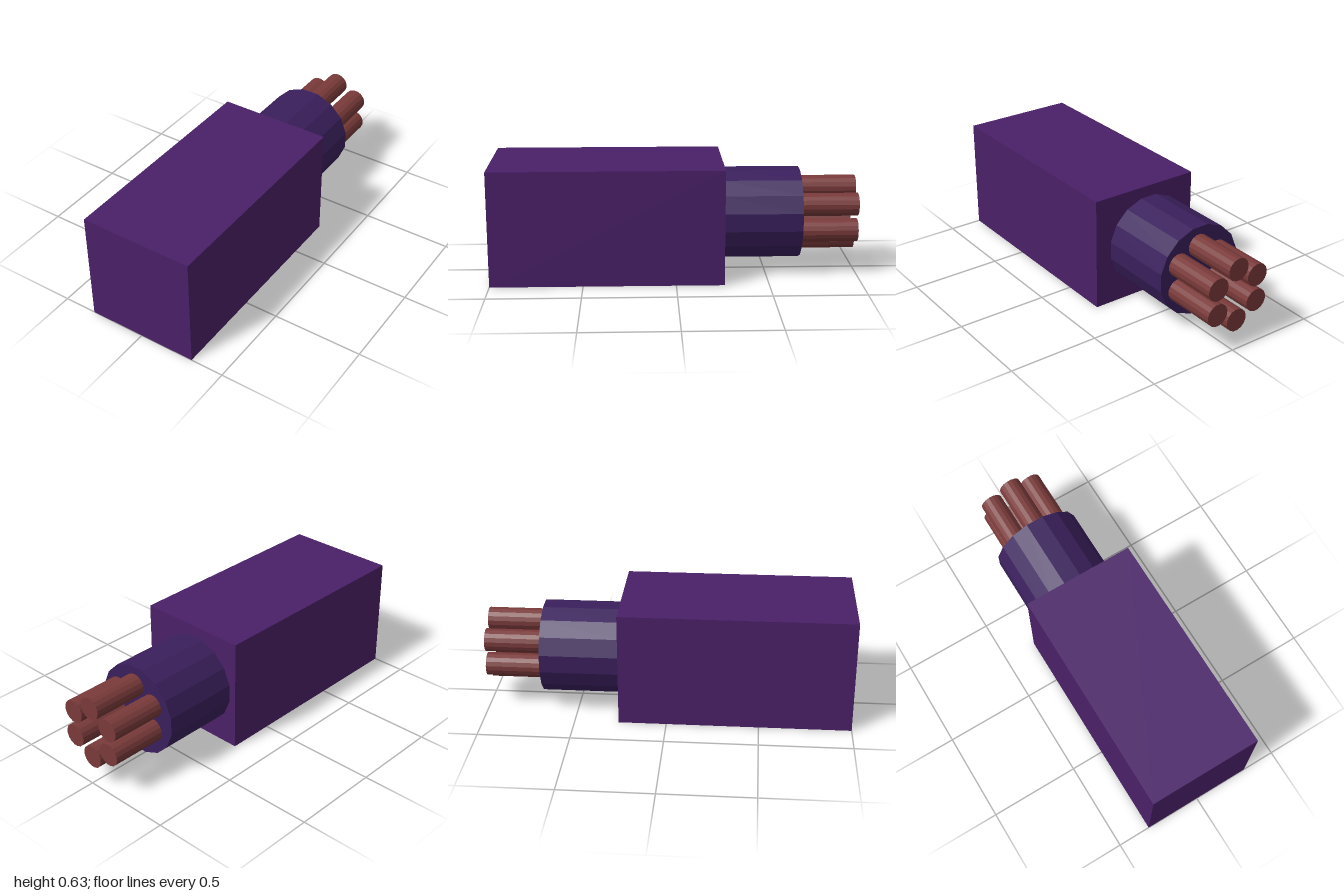
import * as THREE from 'three';

const material = (color) => new THREE.MeshStandardMaterial({ color, flatShading: true });

// Faceted rod along z, from z0 (back) to z1 (front)
function rod(name, radius, x, y, z0, z1, sides, mat) {
  const geo = new THREE.CylinderGeometry(radius, radius, z1 - z0, sides);
  geo.rotateY(Math.PI / sides);
  geo.rotateX(Math.PI / 2);
  const mesh = new THREE.Mesh(geo, mat);
  mesh.name = name;
  mesh.position.set(x, y, (z0 + z1) / 2);
  return mesh;
}

export function createModel() {
  const model = new THREE.Group();
  model.name = 'cableBlock';

  // Long square block
  const block = new THREE.Mesh(new THREE.BoxGeometry(0.63, 0.63, 1.26), material(0x4a2068));
  block.name = 'block';
  block.position.set(0, 0.315, 0.37);
  model.add(block);

  // Collar behind the block, slightly off centre
  model.add(rod('collar', 0.253, -0.025, 0.318, -0.69, -0.25, 16, material(0x3a1f5c)));

  // Ring of six copper wires
  const copper = material(0x7a3a3a);
  const wires = new THREE.Group();
  wires.name = 'wires';
  for (let i = 0; i < 6; i++) {
    const a = Math.PI / 2 + (i * Math.PI) / 3;
    const x = -0.015 + 0.145 * Math.cos(a);
    const y = 0.318 + 0.145 * Math.sin(a);
    wires.add(rod('wire', 0.063, x, y, -1, -0.67, 16, copper));
  }
  model.add(wires);

  return model;
}
